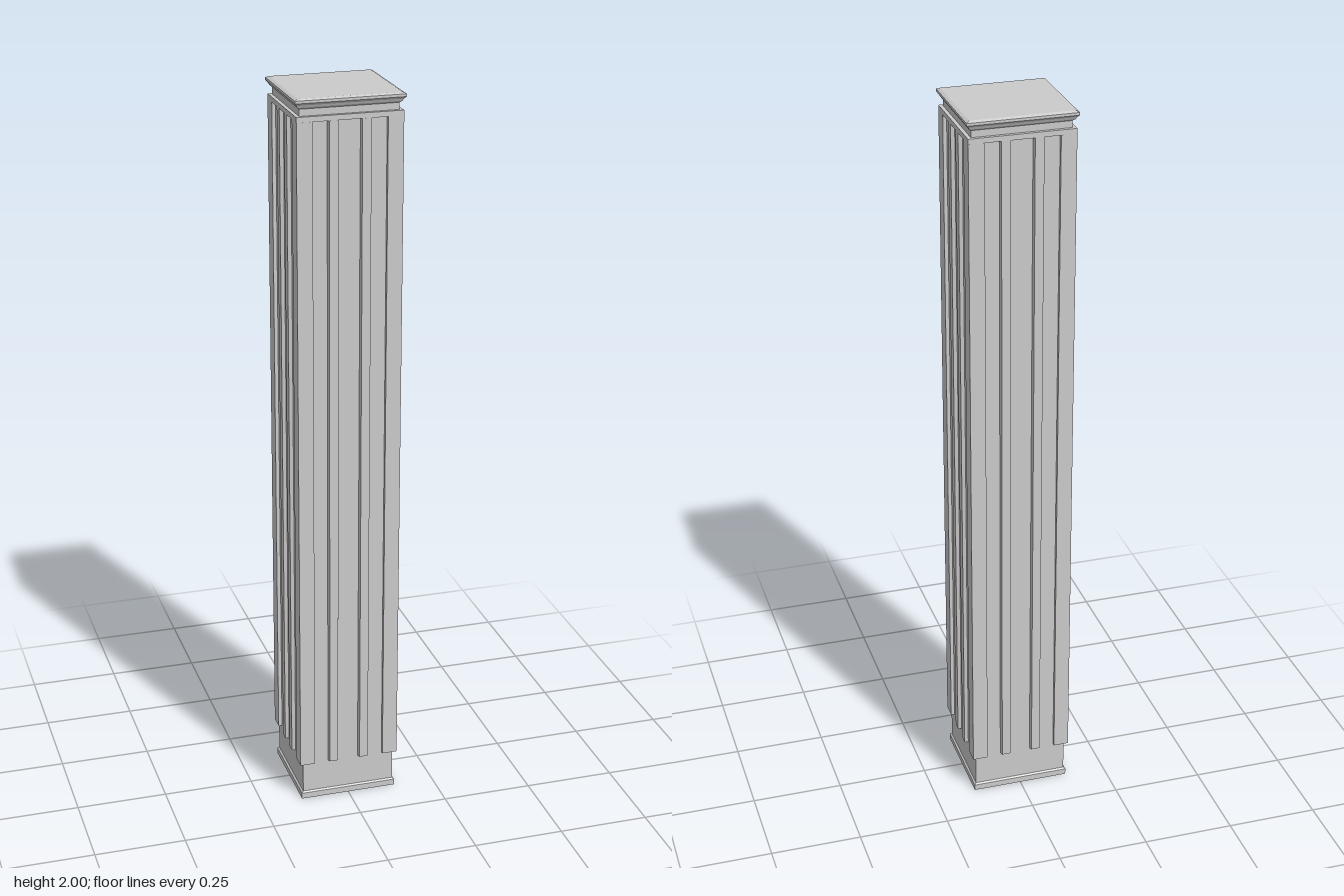
import * as THREE from 'three';

const CORE = { x: 0.131, z: 0.128 };   // half sizes of the plain shaft
const FACE = { x: 0.141, z: 0.138 };   // half sizes over the raised trim
const LOW = 0.11, HIGH = 1.94;         // vertical span of the raised trim
const material = new THREE.MeshStandardMaterial({ color: 0xcccccc, flatShading: true });

function part(name, geometry) {
  const mesh = new THREE.Mesh(geometry, material);
  mesh.name = name;
  return mesh;
}

// Rectangular moulding: a four-sided lathe from [half width, height] pairs
function moulding(profile) {
  const points = profile.map(([r, y]) => new THREE.Vector2(r * Math.SQRT2, y));
  const g = new THREE.LatheGeometry(points, 4, Math.PI / 4).toNonIndexed();
  g.scale(1, 1, CORE.z / CORE.x);
  g.computeVertexNormals();
  return g;
}

// Upright prism from a plan outline given as [x, z] pairs
function prism(outline, y0, y1) {
  const shape = new THREE.Shape(outline.map(([x, z]) => new THREE.Vector2(x, -z)));
  const g = new THREE.ExtrudeGeometry(shape, { depth: y1 - y0, bevelEnabled: false });
  return g.rotateX(-Math.PI / 2).translate(0, y0, 0);
}

export function createModel() {
  const model = new THREE.Group();
  model.name = 'column';

  // Hollow shaft, open below, with its foot moulding
  model.add(part('shaft', moulding([
    [0, 1.95], [0.126, 1.95], [0.126, 0], [0.136, 0], [0.136, 0.017],
    [0.131, 0.021], [0.131, 1.975],
  ])));

  // Flared cap with a thin bevelled top
  model.add(part('cap', moulding([
    [0.131, 1.972], [0.137, 1.977], [0.14, 1.983], [0.1455, 1.989],
    [0.1455, 1.996], [0.137, 2], [0, 2],
  ])));

  // Band joining the trim at the top
  model.add(part('topBand', moulding([
    [0.131, HIGH], [0.141, HIGH], [0.141, 1.954], [0.131, 1.954],
  ])));

  // L-shaped boards wrapping the four corners
  const wide = 0.042;
  for (const sx of [-1, 1]) for (const sz of [-1, 1]) {
    const outline = [
      [FACE.x, FACE.z], [FACE.x - wide, FACE.z], [FACE.x - wide, CORE.z],
      [CORE.x, CORE.z], [CORE.x, FACE.z - wide], [FACE.x, FACE.z - wide],
    ].map(([x, z]) => [x * sx, z * sz]);
    model.add(part('cornerBoard', prism(outline, LOW, HIGH)));
  }

  // Two slightly tapered vertical strips on each face
  for (let i = 0; i < 4; i++) {
    const onSide = i % 2 === 1;
    const inner = onSide ? CORE.x : CORE.z;
    const outer = onSide ? FACE.x : FACE.z;
    const offset = onSide ? 0.035 : 0.0435;
    const face = new THREE.Group();
    face.name = 'faceStrips';
    for (const s of [-1, 1]) {
      const c = s * offset;
      face.add(part('strip', prism([
        [c - 0.015, inner], [c + 0.015, inner], [c + 0.012, outer], [c - 0.012, outer],
      ], LOW, HIGH)));
    }
    face.rotation.y = i * Math.PI / 2;
    model.add(face);
  }

  return model;
}
